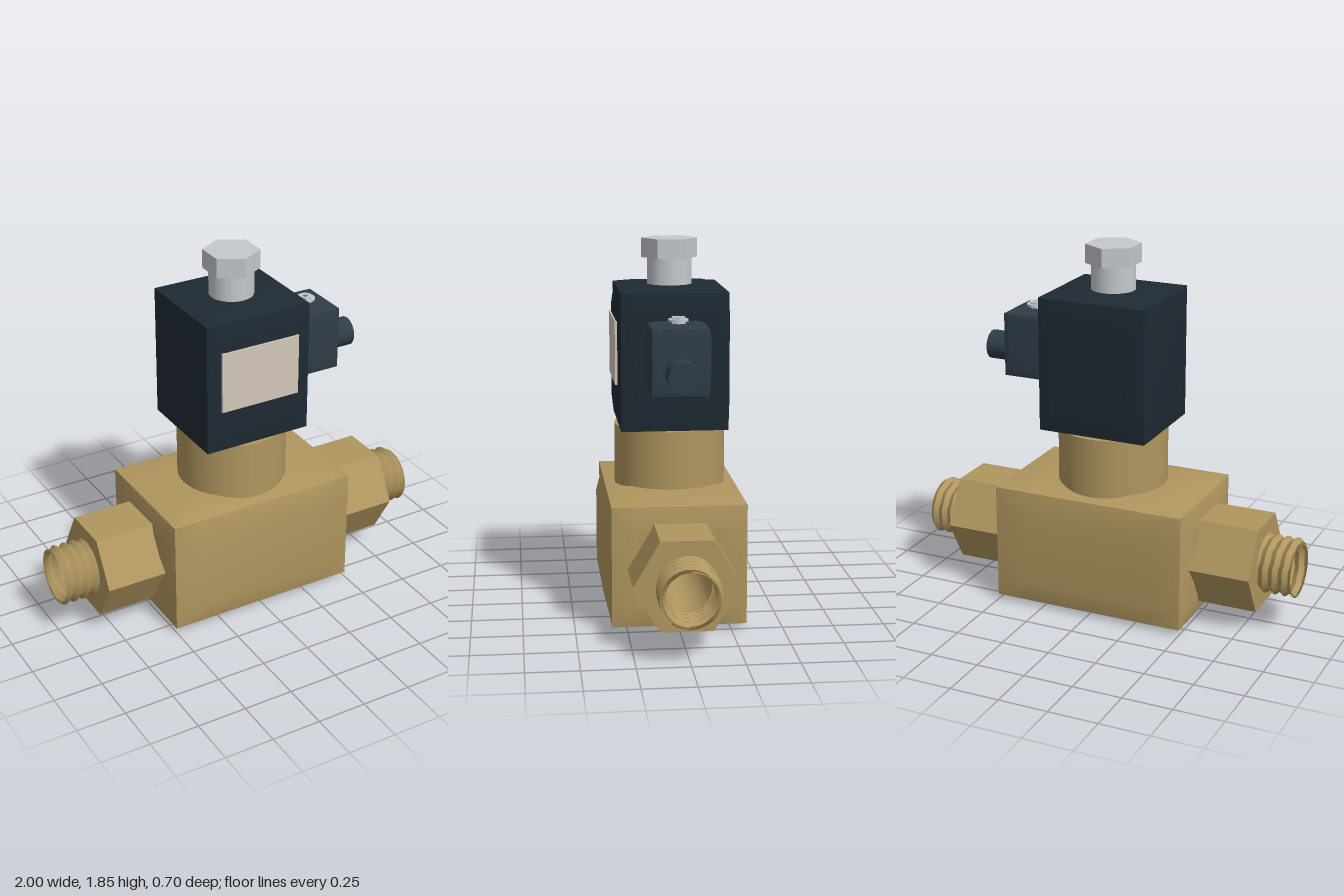
import * as THREE from 'three';
import { ParametricGeometry } from 'three/addons/geometries/ParametricGeometry.js';

const AXIS_Y = 0.328; // height of the flow axis
const BORE = 0.116;

const mat = (color) => new THREE.MeshStandardMaterial({ color });
const brass = mat(0xb0965f);
const brassOpen = mat(0xb0965f);
brassOpen.side = THREE.DoubleSide;
const coilDark = mat(0x1f2a33);
const plugDark = mat(0x2f3c47);
const steel = mat(0xc4c9cd);
const labelBeige = mat(0xd2c8b8);

// Box whose faces swell outward to a flat plateau, with straight sharp edges
function pillow(w, h, d, bulge, plateau, openEnds = false) {
  const geo = new THREE.BoxGeometry(w, h, d, 3, 3, 3);
  const half = [w / 2, h / 2, d / 2];
  const pos = geo.attributes.position;
  const nor = geo.attributes.normal;
  for (let i = 0; i < pos.count; i++) {
    const p = [pos.getX(i), pos.getY(i), pos.getZ(i)];
    const n = [nor.getX(i), nor.getY(i), nor.getZ(i)];
    let inner = 0;
    for (let k = 0; k < 3; k++) {
      if (Math.abs(p[k]) < half[k] * 0.9) {
        p[k] = Math.sign(p[k]) * half[k] * plateau;
        inner++;
      }
    }
    if (inner === 2) for (let k = 0; k < 3; k++) p[k] += n[k] * bulge;
    pos.setXYZ(i, ...p);
  }
  geo.computeVertexNormals();
  if (openEnds) {
    // drop the middle quad of the +x and -x faces
    const index = Array.from(geo.index.array);
    geo.clearGroups();
    geo.setIndex(index.filter((_, i) => i >= 108 || i % 54 < 24 || i % 54 >= 30));
  }
  return geo;
}

function hole(shape, r) {
  shape.holes.push(new THREE.Path().absarc(0, 0, r, 0, Math.PI * 2, true));
  return shape;
}

function hexShape(r) {
  const pts = [];
  for (let i = 0; i < 6; i++) {
    const a = (i * Math.PI) / 3;
    pts.push(new THREE.Vector2(Math.cos(a) * r, Math.sin(a) * r));
  }
  return new THREE.Shape(pts);
}

// Thin-walled helical thread along +x, outer skin out and inner skin back
function threadGeometry(x0, x1, pitch) {
  const fn = (u, v, target) => {
    const outer = v <= 0.5;
    const t = outer ? v * 2 : 2 - v * 2;
    const x = x0 + (x1 - x0) * t;
    const a = u * Math.PI * 2;
    const phase = (x - x0) / pitch + u;
    const wave = Math.abs((phase - Math.floor(phase)) * 2 - 1); // triangular crest
    const r = (outer ? 0.129 : BORE) + 0.02 * wave;
    target.set(x, r * Math.cos(a), r * Math.sin(a));
  };
  return new ParametricGeometry(fn, 48, 72);
}

export function createModel() {
  const model = new THREE.Group();
  const add = (name, geo, material, x = 0, y = 0, z = 0, parent = model) => {
    const mesh = new THREE.Mesh(geo, material);
    mesh.name = name;
    mesh.position.set(x, y, z);
    parent.add(mesh);
    return mesh;
  };

  // Valve body with a clear bore
  const W = 1.0, H = 0.59, D = 0.65, BULGE = 0.027, FLAT = 0.63;
  add('valveBody', pillow(W, H, D, BULGE, FLAT, true), brass, 0, AXIS_Y);
  const boreGeo = new THREE.CylinderGeometry(BORE, BORE, 1.64, 48, 1, true).rotateZ(Math.PI / 2);
  add('bore', boreGeo, brassOpen, 0, AXIS_Y);

  // Pipe ends: one built along +x, the other turned half a circle
  const zHalf = (D / 2) * FLAT, yHalf = (H / 2) * FLAT;
  for (const [side, turn] of [['left', 0], ['right', Math.PI]]) {
    const end = new THREE.Group();
    end.name = side + 'PipeEnd';
    end.position.y = AXIS_Y;
    end.rotation.y = turn;
    model.add(end);

    const plate = hole(new THREE.Shape([
      new THREE.Vector2(-zHalf, -yHalf), new THREE.Vector2(zHalf, -yHalf),
      new THREE.Vector2(zHalf, yHalf), new THREE.Vector2(-zHalf, yHalf),
    ]), BORE);
    add(side + 'BodyEndFace', new THREE.ShapeGeometry(plate, 24).rotateY(Math.PI / 2),
      brass, W / 2 + BULGE, 0, 0, end);

    const nut = new THREE.ExtrudeGeometry(hole(hexShape(0.25), BORE),
      { depth: 0.33, bevelEnabled: false, curveSegments: 24 });
    add(side + 'HexCollar', nut.rotateY(Math.PI / 2), brass, 0.495, 0, 0, end);

    add(side + 'Thread', threadGeometry(0.82, 1.0, 0.05), brassOpen, 0, 0, 0, end);
  }

  // Neck between body and coil
  add('neck', new THREE.CylinderGeometry(0.275, 0.275, 0.31, 64), brass, 0, 0.78);

  // Coil housing and its label plate
  add('coilHousing', pillow(0.56, 0.67, 0.52, 0.016, 0.68), coilDark, 0, 1.277);
  add('labelPlate', new THREE.BoxGeometry(0.42, 0.31, 0.02), labelBeige, 0, 1.315, 0.274);

  // Top stem and hex cap
  add('topStem', new THREE.CylinderGeometry(0.11, 0.11, 0.16, 48), steel, 0, 1.69);
  const cap = new THREE.ExtrudeGeometry(hexShape(0.138), { depth: 0.095, bevelEnabled: false });
  add('hexCap', cap.rotateZ(Math.PI / 2).rotateX(-Math.PI / 2), steel, 0, 1.757);

  // Electrical connector with cable gland and screw
  add('connector', pillow(0.225, 0.32, 0.27, 0.011, 0.72), plugDark, 0.422, 1.315);
  const gland = new THREE.CylinderGeometry(0.073, 0.073, 0.175, 40).rotateZ(Math.PI / 2);
  add('cableGland', gland, plugDark, 0.587, 1.265);

  const screw = new THREE.Group();
  screw.name = 'connectorScrew';
  screw.position.set(0.422, 1.48, 0);
  model.add(screw);
  add('screwWasher', new THREE.CylinderGeometry(0.048, 0.048, 0.01, 32), steel, 0, 0.022, 0, screw);
  const head = new THREE.ExtrudeGeometry(hole(hexShape(0.036), 0.014),
    { depth: 0.037, bevelEnabled: false });
  add('screwHead', head.rotateX(-Math.PI / 2), steel, 0, 0, 0, screw);
  add('screwSocket', new THREE.CylinderGeometry(0.015, 0.015, 0.002, 16), plugDark, 0, 0.029, 0, screw);

  return model;
}
